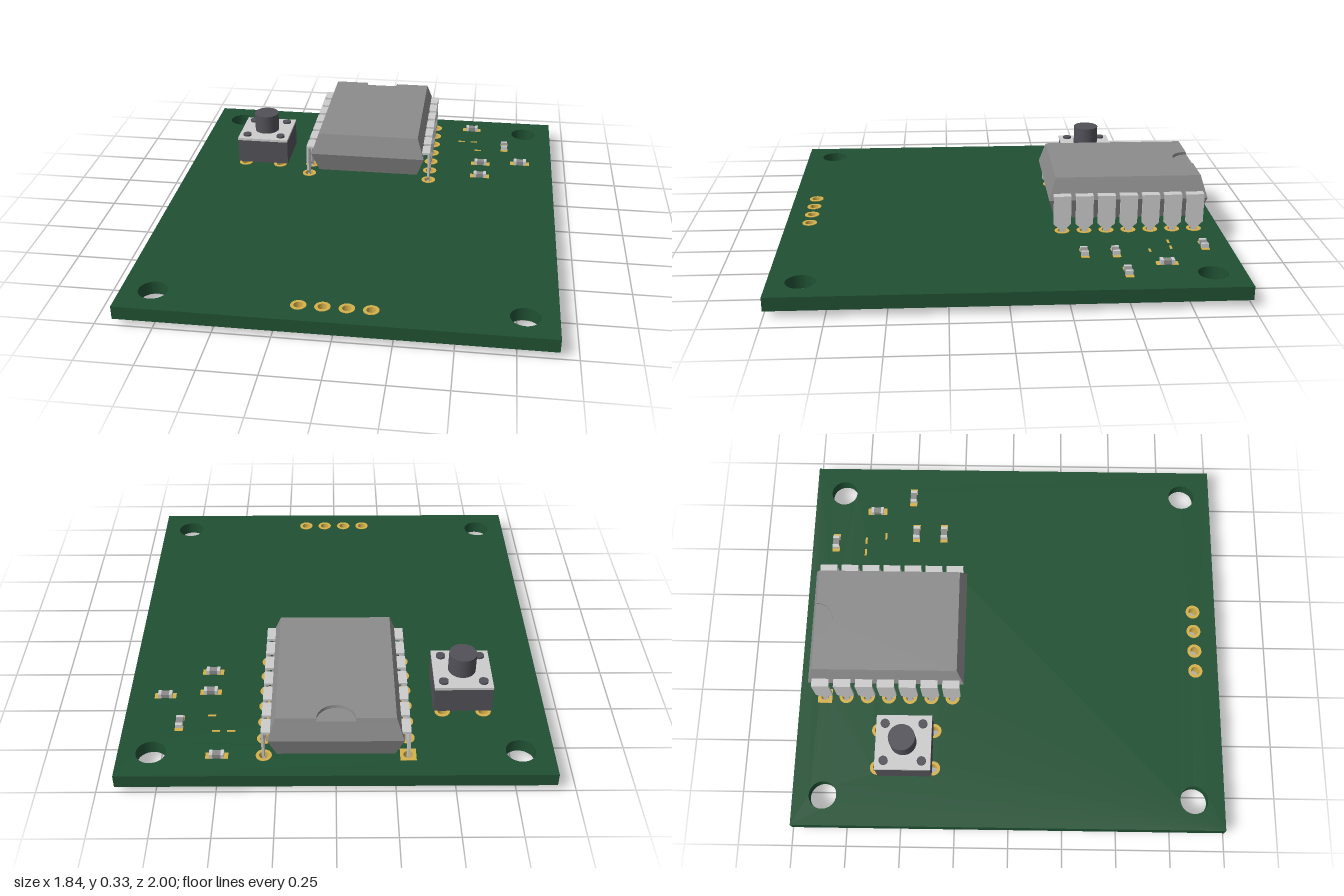
import * as THREE from 'three';
import { ConvexGeometry } from 'three/addons/geometries/ConvexGeometry.js';

const mat = (name, color) => {
  const m = new THREE.MeshStandardMaterial({ color });
  m.name = name;
  return m;
};
const BOTTOM = 0.032, TOP = 0.093; // board faces

export function createModel() {
  const root = new THREE.Group();
  root.name = 'circuitBoard';
  const green = mat('boardGreen', 0x205133);
  const grey = mat('chipGrey', 0x8c8c8c);
  const silver = mat('metalSilver', 0xcccccc);
  const dark = mat('buttonDark', 0x525158);
  const gold = mat('padGold', 0xd4b04a);

  const add = (parent, name, geo, material, x = 0, y = 0, z = 0) => {
    const m = new THREE.Mesh(geo, material);
    m.name = name;
    m.position.set(x, y, z);
    parent.add(m);
    return m;
  };
  const group = (name, x = 0, y = 0, z = 0) => {
    const g = new THREE.Group();
    g.name = name;
    g.position.set(x, y, z);
    root.add(g);
    return g;
  };
  const box = (w, h, d) => new THREE.BoxGeometry(w, h, d);
  const rect = (w, h) => new THREE.Shape([[-w, -h], [w, -h], [w, h], [-w, h]].map(p => new THREE.Vector2(...p)));
  const circle = (x, y, r) => new THREE.Path().absarc(x, y, r, 0, Math.PI * 2, true);
  // plan outline (x, -z) raised along y
  const plate = (shape, depth, curveSegments = 12) =>
    new THREE.ExtrudeGeometry(shape, { depth, bevelEnabled: false, curveSegments }).rotateX(-Math.PI / 2);

  // positions of the plated holes
  const pinZ = [...Array(7)].map((_, i) => -0.273 - i * 0.1013);
  const pads = [];
  for (const s of [-1, 1]) pinZ.forEach((z, i) => pads.push([s * 0.303, z, s < 0 && i === 6]));
  for (const x of [-0.152, -0.051, 0.051, 0.152]) pads.push([x, 0.892, false]);
  for (const sx of [-1, 1]) for (const sz of [-1, 1]) pads.push([-0.558 + sx * 0.09, -0.484 + sz * 0.13, false]);

  // board with mounting holes and drilled holes
  const outline = rect(0.92, 1);
  for (const x of [-0.78, 0.78]) for (const z of [-0.86, 0.86]) outline.holes.push(circle(x, -z, 0.064));
  for (const [x, z] of pads) outline.holes.push(circle(x, -z, 0.025));
  add(root, 'board', plate(outline, TOP - BOTTOM, 16), green, 0, BOTTOM, 0);

  // gold plated holes, with a square one marking the first pin
  const round = new THREE.Shape().absarc(0, 0, 0.034, 0, Math.PI * 2, false);
  const square = rect(0.034, 0.034);
  const [roundPad, squarePad] = [round, square].map(s => {
    s.holes.push(circle(0, 0, 0.02));
    return plate(s, TOP - BOTTOM + 0.004);
  });
  const padGroup = group('platedHoles');
  for (const [x, z, isSquare] of pads) add(padGroup, 'platedHole', isSquare ? squarePad : roundPad, gold, x, BOTTOM - 0.002, z);

  // chip body: bevelled block, closed by a thin slab with the end notch
  const chip = group('chip', 0, 0, -0.578);
  const corners = [];
  for (const [hx, y, hz] of [[0.246, 0.133, 0.334], [0.28, 0.232, 0.364], [0.251, 0.318, 0.338]])
    for (const sx of [-1, 1]) for (const sz of [-1, 1]) corners.push(new THREE.Vector3(sx * hx, y, sz * hz));
  add(chip, 'chipBody', new ConvexGeometry(corners), grey);
  const lid = new THREE.Shape();
  lid.moveTo(-0.246, -0.334);
  lid.lineTo(0.246, -0.334);
  lid.lineTo(0.246, 0.334);
  lid.lineTo(0.08, 0.334);
  lid.absarc(0, 0.334, 0.08, 0, Math.PI, true);
  lid.lineTo(-0.246, 0.334);
  const lidGeo = plate(lid, 0.014);
  const p = lidGeo.attributes.position;
  for (let i = 0; i < p.count; i++)
    if (p.getY(i) < 0.007) p.setXYZ(i, p.getX(i) * 0.251 / 0.246, p.getY(i), p.getZ(i) * 0.338 / 0.334);
  lidGeo.computeVertexNormals();
  add(chip, 'chipTop', lidGeo, grey, 0, 0.318, 0);

  // chip legs: wide shoulder tapering to a narrow tip
  const leg = new THREE.Shape([
    [-0.04, 0.262], [-0.04, 0.128], [-0.012, 0.1], [-0.012, 0],
    [0.012, 0], [0.012, 0.1], [0.04, 0.128], [0.04, 0.262],
  ].map(q => new THREE.Vector2(...q)));
  const legGeo = new THREE.ExtrudeGeometry(leg, { depth: 0.01, bevelEnabled: false })
    .translate(0, 0, -0.005).rotateY(Math.PI / 2);
  const tabGeo = box(0.045, 0.01, 0.08);
  const legs = group('chipLegs');
  for (const s of [-1, 1]) for (const z of pinZ) {
    add(legs, 'chipLeg', legGeo, silver, s * 0.303, 0, z);
    add(legs, 'chipLegShoulder', tabGeo, silver, s * 0.2795, 0.257, z);
  }

  // push button
  const button = group('pushButton', -0.558, 0, -0.484);
  add(button, 'buttonBase', box(0.256, 0.122, 0.252), dark, 0, TOP + 0.061, 0);
  add(button, 'buttonCover', box(0.256, 0.012, 0.256), silver, 0, 0.221, 0);
  add(button, 'plunger', new THREE.CylinderGeometry(0.061, 0.061, 0.1, 32), dark, 0, 0.27, 0);
  const rivet = new THREE.CylinderGeometry(0.021, 0.021, 0.012, 16);
  for (const sx of [-1, 1]) for (const sz of [-1, 1]) add(button, 'rivet', rivet, dark, sx * 0.087, 0.23, sz * 0.087);

  // surface-mounted parts: gold pads, silver end caps, grey middle
  for (const [x, z, turn] of [[0.5, -0.883, 0], [0.677, -0.685, 1], [0.759, -0.505, 0], [0.558, -0.482, 0], [0.558, -0.344, 0]]) {
    const part = group('smallComponent', x, TOP, z);
    part.rotation.y = turn * Math.PI / 2;
    add(part, 'componentBody', box(0.036, 0.02, 0.03), grey, 0, 0.01, 0);
    for (const s of [-1, 1]) {
      add(part, 'endCap', box(0.014, 0.022, 0.032), silver, s * 0.024, 0.011, 0);
      add(part, 'solderPad', box(0.03, 0.004, 0.036), gold, s * 0.033, 0, 0);
    }
  }

  // bare contact strips
  const strips = group('contactStrips');
  for (const [x, z] of [[0.515, -0.733], [0.54, -0.635], [0.45, -0.733]])
    add(strips, 'contactStrip', box(0.035, 0.004, 0.01), gold, x, TOP, z);

  return root;
}
